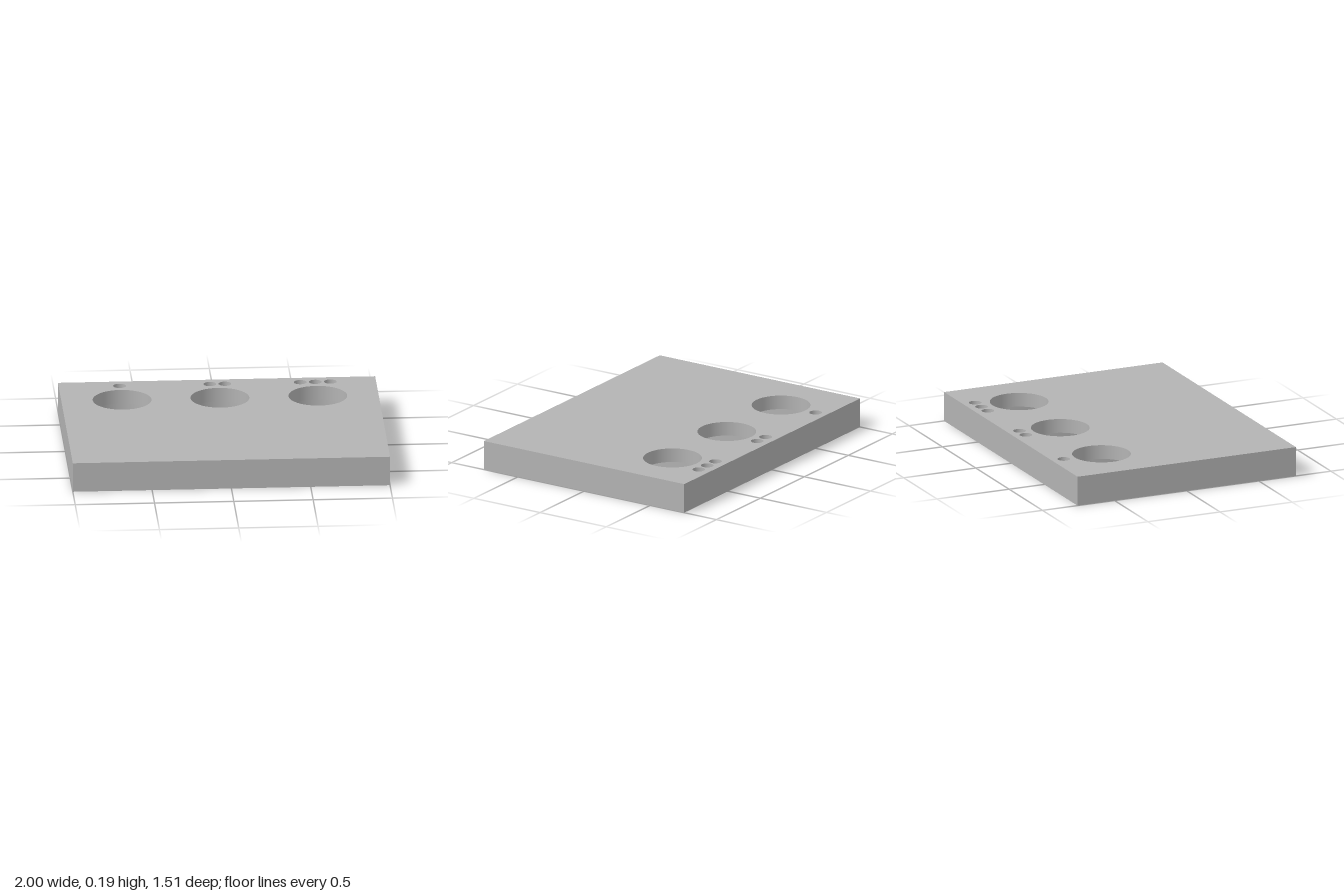
import * as THREE from 'three';

const HEIGHT = 0.19, HALF_X = 1, HALF_Z = 0.757;
const SLOT_DEPTH = 0.1, DOT_DEPTH = 0.05;
const HOLE_Z = -0.414, HOLE_R = 0.185, HEAD_R = 0.2, TAIL_R = 0.095;
const DOT_Z = -0.675, DOT_R = 0.04, DOT_STEP = 0.095;

// Points on an arc in the x-z plane, each with its outward normal
function arc(cx, cz, r, from, to, steps) {
  return Array.from({ length: steps + 1 }, (_, i) => {
    const a = from + (to - from) * i / steps;
    const nx = Math.cos(a), nz = Math.sin(a);
    return { x: cx + r * nx, z: cz + r * nz, nx, nz };
  });
}

const circle = (cx, cz, r, steps) => arc(cx, cz, r, 0, Math.PI * 2, steps);

// Tapered slot outline: a large round head joined by tangents to a small round tail
function slotOutline(cx, tailZ) {
  const t = Math.asin((HEAD_R - TAIL_R) / (tailZ - HOLE_Z));
  const pts = [
    ...arc(cx, tailZ, TAIL_R, t, Math.PI - t, 24),
    ...arc(cx, HOLE_Z, HEAD_R, Math.PI - t, Math.PI * 2 + t, 40),
  ];
  return [...pts, pts[0]];
}

// Flat horizontal face with holes; dir is 1 for facing up and -1 for facing down
function face(outline, holes, y, dir) {
  const flat = (pts) => pts.slice(0, -1).map((p) => new THREE.Vector2(p.x, -dir * p.z));
  const shape = new THREE.Shape(flat(outline));
  shape.holes = holes.map((h) => new THREE.Path(flat(h)));
  return new THREE.ShapeGeometry(shape).rotateX(-dir * Math.PI / 2).translate(0, y, 0);
}

// Inward-facing wall of a pocket, following its closed outline
function pocketWall(outline, y0, y1) {
  const pos = [], nor = [], index = [];
  outline.forEach((p, i) => {
    pos.push(p.x, y0, p.z, p.x, y1, p.z);
    nor.push(-p.nx, 0, -p.nz, -p.nx, 0, -p.nz);
    if (i < outline.length - 1) {
      const k = i * 2;
      index.push(k, k + 2, k + 1, k + 2, k + 3, k + 1);
    }
  });
  const g = new THREE.BufferGeometry();
  g.setAttribute('position', new THREE.Float32BufferAttribute(pos, 3));
  g.setAttribute('normal', new THREE.Float32BufferAttribute(nor, 3));
  g.setIndex(index);
  return g;
}

export function createModel() {
  const model = new THREE.Group();
  model.name = 'slottedBlock';
  const grey = new THREE.MeshStandardMaterial({ color: 0xb3b3b3 });
  grey.name = 'plain grey';

  const add = (parent, name, geometry) => {
    const mesh = new THREE.Mesh(geometry, grey);
    mesh.name = name;
    parent.add(mesh);
    return mesh;
  };

  const rim = [[1, -1], [1, 1], [-1, 1], [-1, -1], [1, -1]]
    .map(([sx, sz]) => ({ x: sx * HALF_X, z: sz * HALF_Z }));
  const topHoles = [], bottomHoles = [];

  // Three stations: a through hole, a tapered slot below and one to three marker dots
  const stations = [
    { x: -0.617, tailZ: 0.36, dots: 1 },
    { x: 0, tailZ: 0.43, dots: 2 },
    { x: 0.617, tailZ: 0.5, dots: 3 },
  ];
  stations.forEach(({ x, tailZ, dots }) => {
    const station = new THREE.Group();
    station.name = 'station' + dots;
    model.add(station);

    const hole = circle(x, HOLE_Z, HOLE_R, 64);
    const slot = slotOutline(x, tailZ);
    topHoles.push(hole);
    bottomHoles.push(slot);
    add(station, 'holeWall', pocketWall(hole, SLOT_DEPTH, HEIGHT));
    add(station, 'slotWall', pocketWall(slot, 0, SLOT_DEPTH));
    add(station, 'slotCeiling', face(slot, [hole], SLOT_DEPTH, -1));

    for (let i = 0; i < dots; i++) {
      const dot = circle(x + (i - (dots - 1) / 2) * DOT_STEP, DOT_Z, DOT_R, 32);
      topHoles.push(dot);
      add(station, 'markerDotWall', pocketWall(dot, HEIGHT - DOT_DEPTH, HEIGHT));
      add(station, 'markerDotFloor', face(dot, [], HEIGHT - DOT_DEPTH, 1));
    }
  });

  // Block faces
  add(model, 'topFace', face(rim, topHoles, HEIGHT, 1));
  add(model, 'bottomFace', face(rim, bottomHoles, 0, -1));

  // Block sides: front, left, back, right
  for (let i = 0; i < 4; i++) {
    const alongX = i % 2 === 0;
    const side = add(model, ['frontSide', 'leftSide', 'backSide', 'rightSide'][i],
      new THREE.PlaneGeometry(2 * (alongX ? HALF_X : HALF_Z), HEIGHT)
        .translate(0, HEIGHT / 2, alongX ? HALF_Z : HALF_X));
    side.rotation.y = i * Math.PI / 2;
  }
  return model;
}
